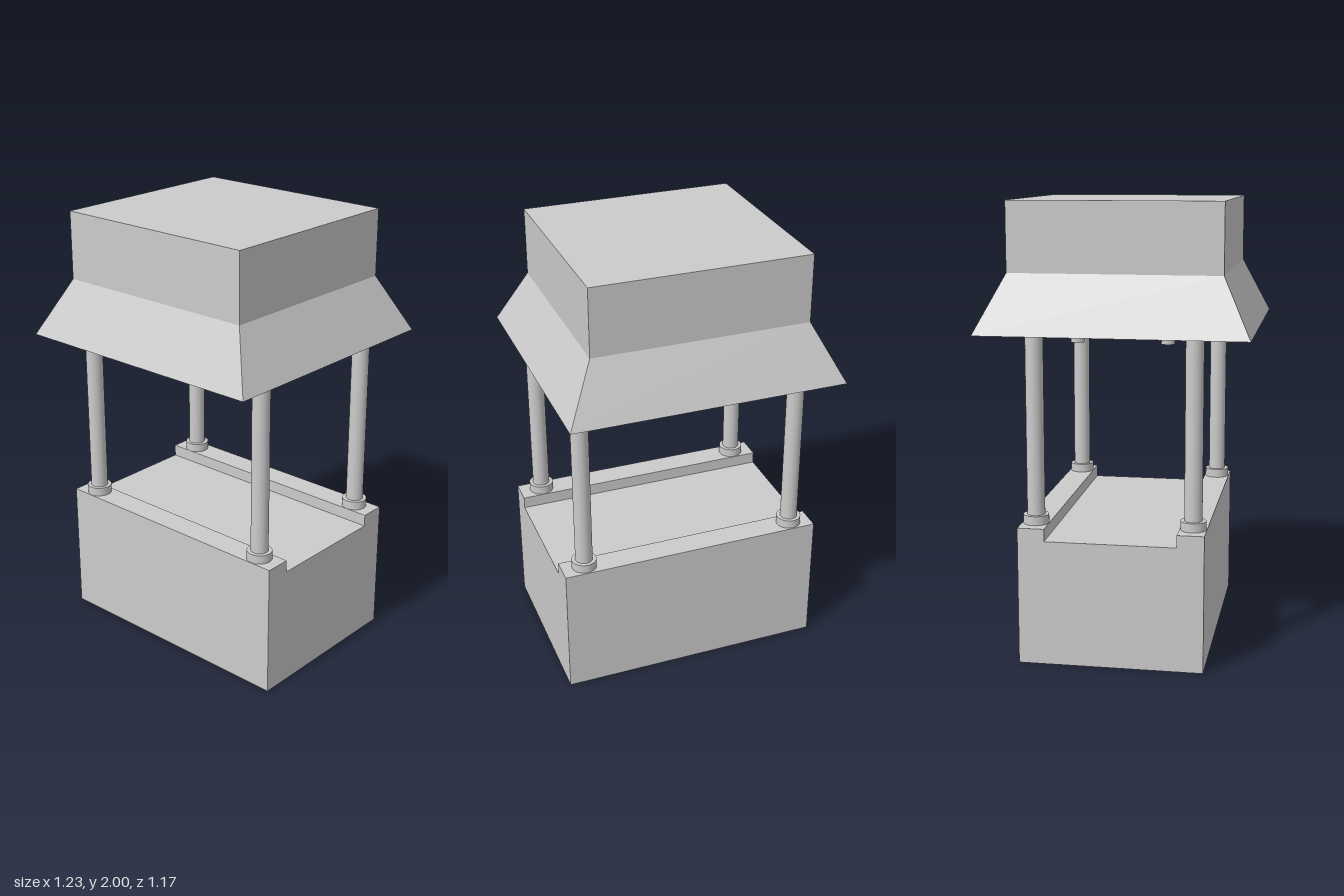
import * as THREE from 'three';

const material = new THREE.MeshStandardMaterial({ color: 0xcccccc });

function add(parent, name, geometry, x = 0, y = 0, z = 0) {
  const mesh = new THREE.Mesh(geometry, material);
  mesh.name = name;
  mesh.position.set(x, y, z);
  parent.add(mesh);
  return mesh;
}

// Base: a channel-shaped section (z, y) swept along x, leaving a raised rail front and back
function baseGeometry() {
  const width = 1.21, depth = 0.405, rail = 0.287, top = 0.61, deck = 0.555;
  const section = new THREE.Shape([
    [-depth, 0], [depth, 0], [depth, top], [rail, top],
    [rail, deck], [-rail, deck], [-rail, top], [-depth, top],
  ].map(([z, y]) => new THREE.Vector2(z, y)));
  return new THREE.ExtrudeGeometry(section, { depth: width, bevelEnabled: false })
    .translate(0, 0, -width / 2)
    .rotateY(-Math.PI / 2);
}

// Roof: a box split at the eave line, its bottom ring flared outwards
function roofGeometry() {
  const box = new THREE.BoxGeometry(1, 1, 1, 1, 2, 1);
  const p = box.attributes.position;
  for (let i = 0; i < p.count; i++) {
    const level = Math.round(p.getY(i) * 2) + 1; // 0 bottom, 1 bend, 2 top
    const halfX = level === 0 ? 0.614 : 0.486;
    const halfZ = level === 0 ? 0.587 : 0.463;
    p.setXYZ(i, Math.sign(p.getX(i)) * halfX, [1.44, 1.695, 2][level], Math.sign(p.getZ(i)) * halfZ);
  }
  const flat = box.toNonIndexed();
  flat.computeVertexNormals();
  return flat;
}

export function createModel() {
  const model = new THREE.Group();
  model.name = 'canopyStand';

  add(model, 'base', baseGeometry(), 0.005);
  add(model, 'roof', roofGeometry());

  // Corner posts with collars standing on the rails
  const postGeo = new THREE.CylinderGeometry(0.039, 0.039, 0.83, 32);
  const collarGeo = new THREE.CylinderGeometry(0.056, 0.056, 0.04, 32);
  for (const x of [-0.496, 0.506]) {
    for (const z of [-0.344, 0.346]) {
      const post = new THREE.Group();
      post.name = 'cornerPost';
      add(post, 'postShaft', postGeo, 0, 1.025, 0);
      add(post, 'postCollar', collarGeo, 0, 0.63, 0);
      post.position.set(x, 0, z);
      model.add(post);
    }
  }

  // Two rows of short lamps under the roof
  const lampGeo = new THREE.CylinderGeometry(0.03, 0.03, 0.06, 32);
  for (const z of [-0.195, 0.205]) {
    for (let i = 0; i < 4; i++) add(model, 'ceilingLamp', lampGeo, -0.295 + i * 0.201, 1.411, z);
  }

  return model;
}
